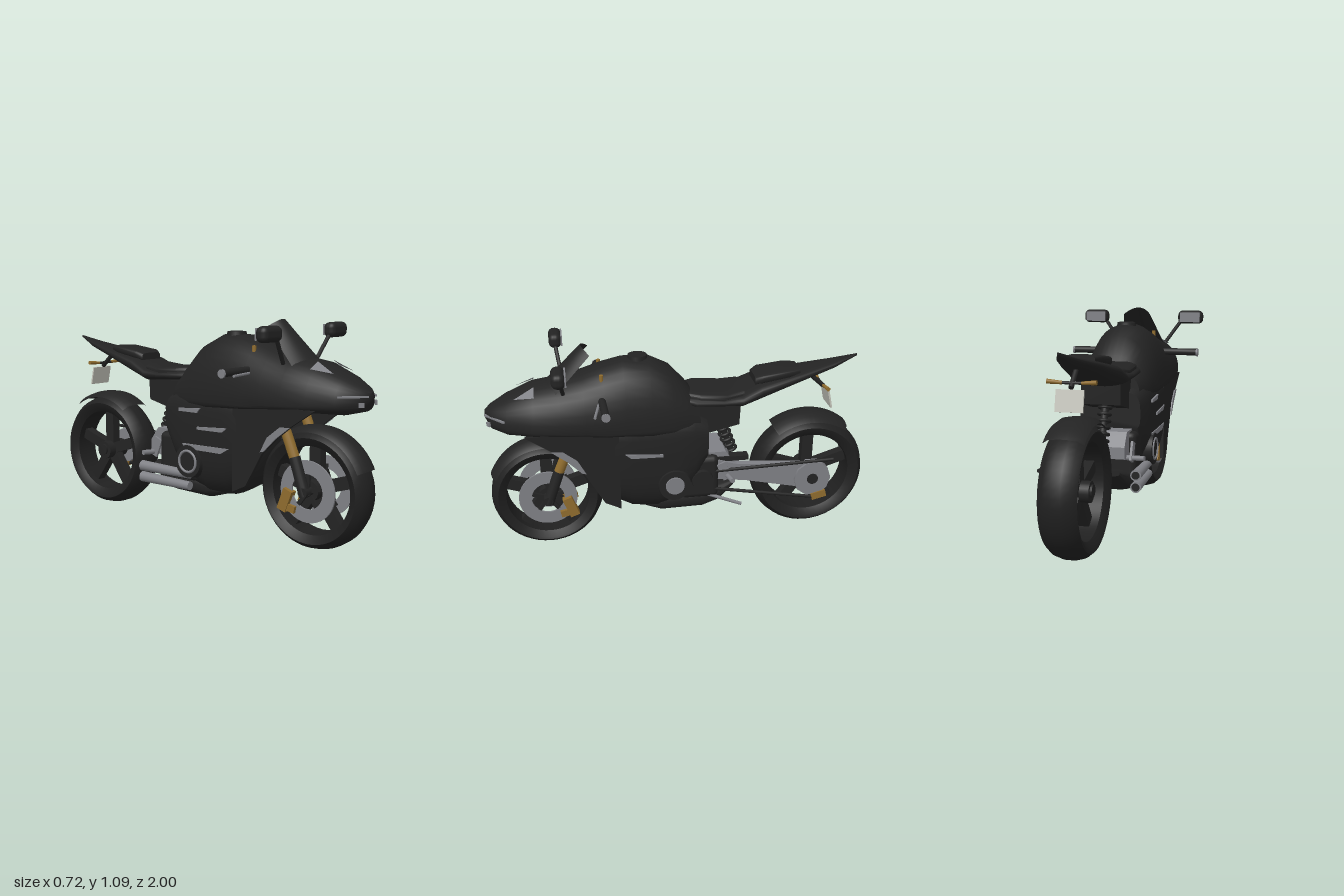
import * as THREE from 'three';
import { toCreasedNormals } from 'three/addons/utils/BufferGeometryUtils.js';
import { RoundedBoxGeometry } from 'three/addons/geometries/RoundedBoxGeometry.js';

const mat = (name, color, side = THREE.FrontSide) => {
  const m = new THREE.MeshStandardMaterial({ color, side });
  m.name = name;
  return m;
};

export function createModel() {
  const root = new THREE.Group();
  const black = mat('black paint', 0x232323, THREE.DoubleSide);
  const rubber = mat('rubber', 0x202020);
  const grey = mat('metal grey', 0x808186, THREE.DoubleSide);
  const gold = mat('gold', 0x8f6c2e);
  const white = mat('plate white', 0xc4c4ba);

  const add = (name, geo, material, x = 0, y = 0, z = 0) => {
    const m = new THREE.Mesh(geo, material);
    m.name = name;
    m.position.set(x, y, z);
    root.add(m);
    return m;
  };
  const box = (name, material, w, h, d, x, y, z, rx = 0, ry = 0) => {
    const m = add(name, new THREE.BoxGeometry(w, h, d), material, x, y, z);
    m.rotation.set(rx, ry, 0);
    return m;
  };
  // Cylinder between two points
  const rod = (name, material, a, b, r, r2 = r, sides = 16) => {
    const p = new THREE.Vector3(...a), q = new THREE.Vector3(...b);
    const m = add(name, new THREE.CylinderGeometry(r2, r, p.distanceTo(q), sides), material);
    m.position.copy(p).lerp(q, 0.5);
    m.quaternion.setFromUnitVectors(new THREE.Vector3(0, 1, 0), q.sub(p).normalize());
    return m;
  };
  // Flat part drawn in (z, y), centred on x
  const extrude = (name, material, shape, d, x, y = 0, z = 0) => {
    const g = new THREE.ExtrudeGeometry(shape, { depth: d, bevelEnabled: false, curveSegments: 24 });
    return add(name, g.rotateY(-Math.PI / 2).translate(d / 2, 0, 0), material, x, y, z);
  };
  const plate = (name, material, pts, x, d) =>
    extrude(name, material, new THREE.Shape(pts.map(p => new THREE.Vector2(...p))), d, x);
  // Body from rows of [z, top, bottom, widest height, half width]
  const loft = (name, material, rows, up = 2.2, low = 2.5) => {
    const n = 36, pos = [], idx = [];
    for (const [z, t, b, m, w] of rows) for (let i = 0; i < n; i++) {
      const a = i / n * Math.PI * 2, c = Math.cos(a), s = Math.sin(a), e = 2 / (s >= 0 ? up : low);
      pos.push(w * Math.sign(c) * Math.abs(c) ** e, m + (s >= 0 ? t - m : b - m) * Math.abs(s) ** e, z);
    }
    for (let k = 0; k < rows.length - 1; k++) for (let i = 0; i < n; i++) {
      const a = k * n + i, b = k * n + (i + 1) % n;
      idx.push(a, a + n, b, b, a + n, b + n);
    }
    const last = (rows.length - 1) * n;
    for (let i = 1; i < n - 1; i++) idx.push(0, i, i + 1, last, last + i + 1, last + i);
    const g = new THREE.BufferGeometry();
    g.setAttribute('position', new THREE.Float32BufferAttribute(pos, 3));
    g.setIndex(idx);
    return add(name, toCreasedNormals(g, 0.7), material);
  };
  // Ring around the x axis; angle runs from +z up to +y
  const ring = (name, material, pts, y, z, a0 = 0, a1 = 360) => {
    const v = pts.map(p => new THREE.Vector2(...p));
    const g = new THREE.LatheGeometry(v, 48, a0 * Math.PI / 180, (a1 - a0) * Math.PI / 180);
    return add(name, toCreasedNormals(g.rotateZ(Math.PI / 2), 0.7), material, 0, y, z);
  };
  const both = f => [1, -1].forEach(f);

  // Wheels
  const wheel = (name, y, z, r, ri, w) => {
    ring(name + 'Tyre', rubber, [[ri, -w * 0.7], [ri + 0.03, -w * 0.94], [r - 0.035, -w], [r - 0.012, -w * 0.7], [r, -w * 0.25],
      [r, w * 0.25], [r - 0.012, w * 0.7], [r - 0.035, w], [ri + 0.03, w * 0.94], [ri, w * 0.7], [ri, -w * 0.7]], y, z);
    rod(name + 'Hub', black, [-0.07, y, z], [0.07, y, z], 0.05, 0.05, 24);
    for (let i = 0; i < 5; i++) {
      const a = Math.PI / 2 + i * Math.PI * 0.4, m = (ri + 0.03) / 2;
      box(name + 'Spoke', black, 0.05, 0.06, ri - 0.02, 0, y + Math.sin(a) * m, z + Math.cos(a) * m, -a);
    }
  };
  wheel('front', 0.29, 0.71, 0.29, 0.215, 0.085);
  wheel('rear', 0.31, -0.69, 0.31, 0.225, 0.09);

  // Mudguards
  const guard = (r, w) => [[r - 0.03, -w], [r - 0.008, -w * 0.7], [r, -w * 0.2], [r, w * 0.2], [r - 0.008, w * 0.7], [r - 0.03, w]];
  ring('frontMudguard', black, guard(0.31, 0.075), 0.29, 0.71, 24, 125);
  ring('rearMudguard', black, guard(0.34, 0.095), 0.31, -0.69, 54, 126);

  // Front fork, brakes and axle
  rod('frontAxle', black, [-0.13, 0.29, 0.71], [0.13, 0.29, 0.71], 0.025);
  both(s => {
    rod('forkLower', black, [s * 0.105, 0.27, 0.71], [s * 0.1, 0.45, 0.645], 0.028);
    rod('forkTube', gold, [s * 0.1, 0.44, 0.648], [s * 0.1, 0.72, 0.53], 0.026);
    rod('forkCap', gold, [s * 0.11, 0.93, 0.41], [s * 0.11, 0.965, 0.41], 0.01);
    const disc = new THREE.Shape().absarc(0, 0, 0.15, 0, Math.PI * 2);
    disc.holes.push(new THREE.Path().absarc(0, 0, 0.085, 0, Math.PI * 2, true));
    extrude('frontBrakeDisc', grey, disc, 0.01, s * 0.083, 0.29, 0.71);
    for (let i = 0; i < 5; i++) {
      const a = 0.3 + i * Math.PI * 0.4;
      box('discArm', black, 0.012, 0.02, 0.1, s * 0.08, 0.29 + 0.06 * Math.sin(a), 0.71 + 0.06 * Math.cos(a), -a);
    }
    box('frontCaliper', gold, 0.04, 0.11, 0.05, s * 0.09, 0.235, 0.595, 0.35);
    box('caliperBracket', gold, 0.03, 0.035, 0.07, s * 0.09, 0.2, 0.615, 0.2);
  });

  // Fairing
  loft('upperFairingAndTank', black, [
    [0.99, 0.775, 0.735, 0.755, 0.02], [0.96, 0.8, 0.685, 0.73, 0.075], [0.88, 0.845, 0.665, 0.72, 0.14],
    [0.75, 0.9, 0.665, 0.71, 0.188], [0.62, 0.92, 0.665, 0.7, 0.2], [0.5, 0.95, 0.66, 0.69, 0.203], [0.4, 0.985, 0.65, 0.68, 0.203],
    [0.3, 1.01, 0.64, 0.68, 0.2], [0.17, 1.01, 0.62, 0.68, 0.195], [0.06, 0.955, 0.62, 0.68, 0.185],
    [-0.02, 0.865, 0.62, 0.68, 0.168], [-0.08, 0.79, 0.62, 0.68, 0.145]]);
  loft('lowerFairing', black, [
    [0.42, 0.72, 0.36, 0.58, 0.17], [0.36, 0.74, 0.25, 0.56, 0.188], [0.27, 0.74, 0.2, 0.55, 0.19], [0.14, 0.74, 0.185, 0.55, 0.19],
    [0.03, 0.74, 0.22, 0.55, 0.188], [-0.05, 0.73, 0.31, 0.55, 0.18], [-0.12, 0.69, 0.47, 0.56, 0.16]], 4, 3);
  loft('bellyPan', black, [[0.2, 0.24, 0.19, 0.22, 0.1], [0.12, 0.28, 0.165, 0.23, 0.13], [-0.1, 0.29, 0.17, 0.23, 0.13],
    [-0.19, 0.3, 0.2, 0.25, 0.12], [-0.27, 0.31, 0.28, 0.295, 0.09]], 3, 3);
  both(s => {
    plate('sideFairing', black, [[0.8, 0.69], [0.675, 0.605], [0.6, 0.545], [0.515, 0.46], [0.46, 0.36], [0.42, 0.29], [0.34, 0.25], [0.34, 0.7]], s * 0.177, 0.02);
    plate('fairingEdge', grey, [[0.675, 0.603], [0.62, 0.6], [0.55, 0.545], [0.51, 0.47], [0.53, 0.475], [0.6, 0.545]], s * 0.19, 0.008);
    plate('sideVent', grey, [[0.31, 0.562], [0.28, 0.538], [0.12, 0.536], [0.12, 0.55]], s * 0.192, 0.009);
    // Lamps
    box('headlampStrip', grey, 0.145, 0.009, 0.01, s * 0.086, 0.758, 0.94, 0, s * 0.74);
    box('headlamp', grey, 0.025, 0.022, 0.009, s * 0.066, 0.722, 0.972, 0, s * 0.74);
    const g = new THREE.BufferGeometry();
    g.setAttribute('position', new THREE.Float32BufferAttribute([s * 0.065, 0.905, 0.74, s * 0.13, 0.873, 0.74, s * 0.09, 0.855, 0.84], 3));
    g.setIndex(s > 0 ? [0, 2, 1] : [0, 1, 2]);
    g.computeVertexNormals();
    add('positionLamp', g, grey);
  });
  plate('lowerLeftVent', grey, [[0.32, 0.46], [0.27, 0.43], [0.04, 0.43], [0.02, 0.455]], -0.189, 0.009);
  plate('upperLeftVent', grey, [[0.14, 0.645], [0.12, 0.62], [0.0, 0.62], [0.0, 0.635]], -0.193, 0.009);

  // Windscreen: a curved sheet
  const screen = new THREE.PlaneGeometry(2, 1, 16, 8), sp = screen.attributes.position;
  for (let i = 0; i < sp.count; i++) {
    const u = sp.getX(i), v = sp.getY(i) + 0.5, d = u * u;
    sp.setXYZ(i, u * (0.125 - 0.05 * v), 0.9 + 0.19 * v - d * 0.035, 0.69 - 0.19 * v - d * 0.04);
  }
  screen.computeVertexNormals();
  add('windscreen', screen, black);
  rod('fuelCap', black, [0, 1.0, 0.22], [0, 1.022, 0.22], 0.052, 0.048, 24);

  // Handlebars, levers and mirrors
  both(s => {
    rod('grip', black, [s * 0.13, 0.85, 0.415], [s * 0.36, 0.85, 0.41], 0.019);
    rod('gripEnd', grey, [s * 0.352, 0.848, 0.41], [s * 0.362, 0.848, 0.41], 0.021);
    rod('lever', grey, [s * 0.17, 0.838, 0.43], [s * 0.33, 0.838, 0.46], 0.007, 0.007, 8);
    rod('mirrorStem', black, [s * 0.14, 0.89, 0.6], [s * 0.225, 1.01, 0.62], 0.01, 0.01, 8);
    add('mirrorShell', new RoundedBoxGeometry(0.145, 0.075, 0.065, 3, 0.028), black, s * 0.282, 1.033, 0.62);
    box('mirrorGlass', grey, 0.115, 0.055, 0.008, s * 0.282, 1.033, 0.587);
  });

  // Seat and tail
  loft('tail', black, [[0, 0.82, 0.765, 0.79, 0.12], [-0.06, 0.82, 0.76, 0.785, 0.145], [-0.2, 0.805, 0.75, 0.78, 0.148], [-0.3, 0.815, 0.738, 0.78, 0.146],
    [-0.4, 0.86, 0.765, 0.82, 0.135], [-0.6, 0.895, 0.835, 0.87, 0.1], [-0.8, 0.93, 0.895, 0.915, 0.05], [-0.93, 0.96, 0.948, 0.954, 0.004]], 3, 2);
  loft('riderSeat', black, [[-0.03, 0.835, 0.8, 0.81, 0.1], [-0.08, 0.835, 0.79, 0.81, 0.13], [-0.22, 0.822, 0.79, 0.8, 0.13], [-0.31, 0.835, 0.79, 0.81, 0.11]], 4, 4);
  loft('pillionSeat', black, [[-0.375, 0.885, 0.84, 0.86, 0.07], [-0.41, 0.9, 0.85, 0.88, 0.09], [-0.55, 0.918, 0.87, 0.9, 0.085], [-0.61, 0.918, 0.88, 0.9, 0.065]], 4, 4);
  plate('subframe', black, [[-0.08, 0.76], [-0.1, 0.6], [-0.29, 0.645], [-0.295, 0.75]], 0, 0.2);

  // Number plate and indicators
  rod('plateBracket', black, [0, 0.88, -0.66], [0, 0.79, -0.76], 0.012);
  box('numberPlate', white, 0.13, 0.1, 0.009, 0, 0.735, -0.782, 0.22);
  both(s => rod('indicator', gold, [s * 0.045, 0.81, -0.745], [s * 0.115, 0.815, -0.75], 0.008, 0.011, 10));
  rod('indicatorBar', black, [-0.06, 0.81, -0.745], [0.06, 0.81, -0.745], 0.007);

  // Engine and covers
  add('engine', new RoundedBoxGeometry(0.3, 0.24, 0.28, 2, 0.03), black, 0, 0.37, -0.04);
  both(s => rod('engineCover', black, [s * 0.13, 0.365, 0.06], [s * 0.198, 0.365, 0.06], 0.095, 0.083, 28));
  rod('rightCoverDisc', grey, [0.19, 0.365, 0.06], [0.203, 0.365, 0.06], 0.052, 0.048, 28);
  add('leftCoverRing', new THREE.TorusGeometry(0.055, 0.007, 8, 28).rotateY(Math.PI / 2), grey, -0.198, 0.365, 0.06);
  rod('rightRearCover', black, [0.13, 0.365, -0.09], [0.17, 0.365, -0.09], 0.06, 0.055, 24);

  // Single-sided swingarm with rear hub and brake
  plate('swingarmPivot', grey, [[-0.1, 0.5], [-0.22, 0.5], [-0.27, 0.43], [-0.27, 0.37], [-0.1, 0.33]], 0, 0.23);
  plate('swingarm', grey, [[-0.12, 0.48], [-0.28, 0.43], [-0.6, 0.405], [-0.72, 0.39], [-0.72, 0.25], [-0.6, 0.27], [-0.33, 0.33], [-0.12, 0.36]], 0.115, 0.04);
  rod('rearHubDisc', grey, [0.1, 0.315, -0.69], [0.148, 0.315, -0.69], 0.1, 0.1, 10);
  rod('rearAxle', black, [-0.08, 0.315, -0.69], [0.153, 0.315, -0.69], 0.03);
  box('rearCaliper', gold, 0.03, 0.04, 0.08, 0.14, 0.215, -0.73, 0.25);
  rod('upperChainRun', black, [0.14, 0.4, -0.05], [0.14, 0.42, -0.8], 0.009, 0.009, 8);
  rod('lowerChainRun', black, [0.14, 0.3, -0.15], [0.14, 0.2, -0.7], 0.009, 0.009, 8);
  box('chainGuard', black, 0.05, 0.025, 0.16, 0.1, 0.46, -0.26);

  // Rear shock with coil spring
  const top = new THREE.Vector3(0, 0.65, -0.2), low = new THREE.Vector3(0, 0.46, -0.27);
  rod('shock', black, top.toArray(), low.toArray(), 0.018);
  for (let i = 0; i < 7; i++) {
    const p = top.clone().lerp(low, i / 6);
    const c = add('shockCoil', new THREE.TorusGeometry(0.03, 0.008, 8, 20), black, p.x, p.y, p.z);
    c.rotation.x = Math.PI / 2 + 0.35;
  }

  // Foot pegs, side stand and exhausts
  both(s => {
    rod('footPeg', grey, [s * 0.11, 0.37, -0.22], [s * 0.21, 0.375, -0.24], 0.013);
    box('pegPlate', grey, 0.012, 0.1, 0.05, s * 0.14, 0.4, -0.21, 0.4);
  });
  rod('sideStand', grey, [0.13, 0.28, -0.08], [0.16, 0.205, -0.3], 0.009);
  [0.295, 0.235].forEach(y => {
    rod('exhaust', grey, [-0.165, y - 0.005, 0.05], [-0.175, y, -0.28], 0.022, 0.028, 20);
    rod('exhaustMouth', black, [-0.175, y, -0.275], [-0.175, y, -0.283], 0.02, 0.02, 20);
  });
  return root;
}
